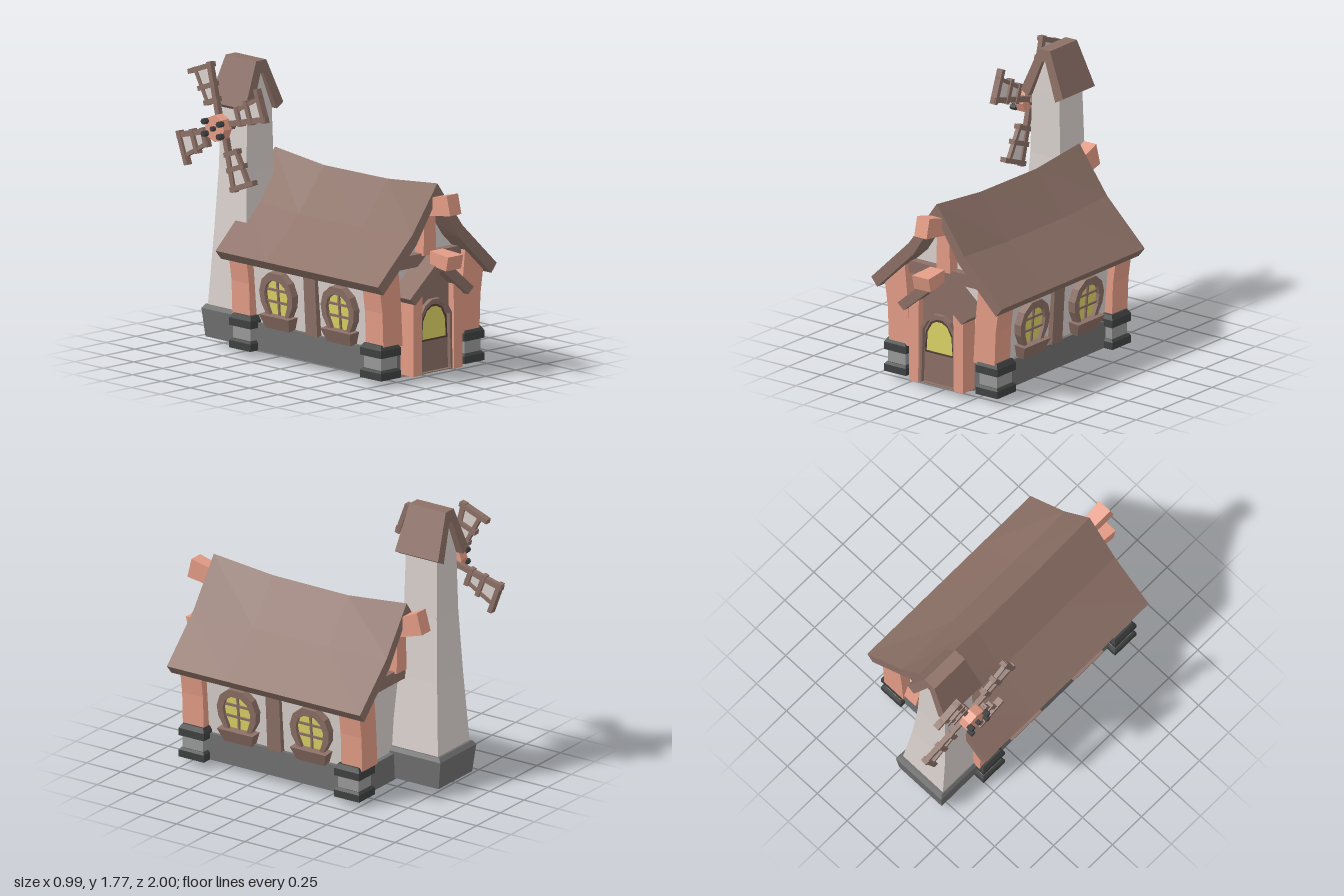
import * as THREE from 'three';

const paint = (name, color) => Object.assign(new THREE.MeshStandardMaterial({ color }), { name });
const brown = paint('brown timber', 0x8c7066);
const salmon = paint('salmon timber', 0xe39c86);
const plaster = paint('pale plaster', 0xd9d1cd);
const slate = paint('foundation grey', 0x707070);
const stone = paint('stone grey', 0x999999);
const charcoal = paint('charcoal bands', 0x3f4141);
const yellow = paint('yellow glass', 0xddd365);
const dark = paint('dark brown', 0x523e38);

function add(parent, name, geo, mat, x = 0, y = 0, z = 0) {
  const m = new THREE.Mesh(geo, mat);
  m.name = name;
  m.position.set(x, y, z);
  parent.add(m);
  return m;
}

// Flat-shaded solid through rings of equal, even point count; always wound outward
function loft(rings) {
  const n = rings[0].length, P = rings.flat(), tris = [];
  const quad = (a, b, c, d) => tris.push([a, b, c], [a, c, d]);
  for (let j = 0; j < rings.length - 1; j++)
    for (let i = 0; i < n; i++) {
      const k = (i + 1) % n, a = j * n, b = a + n;
      quad(a + i, a + k, b + k, b + i);
    }
  const e = (rings.length - 1) * n;
  for (let i = 0; i < n / 2 - 1; i++) {
    quad(n - 1 - i, n - 2 - i, i + 1, i);
    quad(e + i, e + i + 1, e + n - 2 - i, e + n - 1 - i);
  }
  const V = P.map(p => new THREE.Vector3(...p));
  let vol = 0;
  for (const [a, b, c] of tris) vol += V[a].dot(V[b].clone().cross(V[c]));
  const pos = tris.flatMap(([a, b, c]) => (vol < 0 ? [a, c, b] : [a, b, c]).flatMap(i => P[i]));
  const g = new THREE.BufferGeometry();
  g.setAttribute('position', new THREE.Float32BufferAttribute(pos, 3));
  g.computeVertexNormals();
  return g;
}
const rectY = (y, x0, x1, z0, z1) => [[x0, y, z0], [x1, y, z0], [x1, y, z1], [x0, y, z1]];
const rectZ = (z, x, y0, y1, lean = 0) => [[-x, y0, z], [x, y0, z], [x, y1, z - lean], [-x, y1, z - lean]];
const prism = (pts, z0, z1) => loft([z0, z1].map(z => pts.map(([x, y]) => [x, y, z])));
const block = (x0, x1, y0, y1, z0, z1) => loft([rectY(y0, x0, x1, z0, z1), rectY(y1, x0, x1, z0, z1)]);
// Full outline from the right-hand half, bottom to top
const mirrored = pts => [...pts, ...pts.slice().reverse().map(([x, y]) => [-x, y])].map(([x, y]) => new THREE.Vector2(x, y));
function plate(half, depth, hole) {
  const s = new THREE.Shape(mirrored(half));
  if (hole) s.holes.push(new THREE.Path(mirrored(hole)));
  return new THREE.ExtrudeGeometry(s, { depth, bevelEnabled: false });
}

function makeWindow() {
  const g = new THREE.Group();
  g.name = 'sideWindow';
  const outer = [[0.085, -0.13], [0.135, -0.04], [0.143, 0.03], [0.115, 0.105], [0.05, 0.155]];
  const inner = [[0.06, -0.125], [0.092, -0.04], [0.1, 0.02], [0.08, 0.075], [0.035, 0.108]];
  add(g, 'windowFrame', plate(outer, 0.06, inner), brown, 0, 0, -0.015);
  add(g, 'windowGlass', plate(inner, 0.008), yellow, 0, 0, 0.012);
  add(g, 'verticalBar', new THREE.BoxGeometry(0.014, 0.225, 0.02), brown, 0, -0.005, 0.02);
  for (const y of [0.045, -0.03])
    add(g, 'crossBar', new THREE.BoxGeometry(0.19, 0.014, 0.02), brown, 0, y, 0.02);
  add(g, 'windowSill', loft([rectY(-0.195, -0.1, 0.1, -0.02, 0.05), rectY(-0.11, -0.13, 0.13, -0.02, 0.075)]), brown);
  return g;
}

function makeBlade() {
  // Spar runs along +z, lattice widens toward the tip on the +y side
  const g = new THREE.Group();
  g.name = 'millBlade';
  add(g, 'spar', block(-0.016, 0.016, -0.004, 0.03, 0.04, 0.4), brown);
  for (const [z, h] of [[0.17, 0.11], [0.265, 0.14], [0.382, 0.2]])
    add(g, 'rung', loft([rectY(-0.012, -0.021, 0.021, z - 0.015, z + 0.015),
      rectY(h, -0.021, 0.021, z - 0.015 - h * 0.12, z + 0.015 - h * 0.12)]), brown);
  add(g, 'rail', loft([
    [[-0.013, 0.07, 0.14], [0.013, 0.07, 0.14], [0.013, 0.095, 0.14], [-0.013, 0.095, 0.14]],
    [[-0.013, 0.135, 0.38], [0.013, 0.135, 0.38], [0.013, 0.16, 0.38], [-0.013, 0.16, 0.38]]]), brown);
  add(g, 'sailCloth', loft([-0.004, 0.004].map(x => [[x, 0.01, 0.17], [x, 0.01, 0.375], [x, 0.14, 0.37], [x, 0.085, 0.165]])), plaster);
  return g;
}

export function createModel() {
  const root = new THREE.Group();
  root.name = 'windmillCottage';

  // Foundation hollow from below with a raised floor, plaster walls with gables
  add(root, 'foundation', loft([rectY(0.2, -0.345, 0.345, -0.46, 0.715), rectY(0.04, -0.345, 0.345, -0.46, 0.715),
    rectY(0.04, -0.365, 0.365, -0.48, 0.735), rectY(0.21, -0.365, 0.365, -0.48, 0.735)]), slate);
  add(root, 'floor', block(-0.33, 0.33, 0.185, 0.205, -0.44, 0.7), brown);
  const wall = [[0.34, 0.2], [0.375, 0.61], [0.3, 0.735], [0.185, 0.85], [0.004, 1.13]];
  add(root, 'walls', prism([...wall.map(([x, y]) => [-x, y]), ...wall.slice().reverse()], -0.45, 0.7), plaster);

  // Sagging main roof
  const roof = [[0.84, 0], [0.41, 0.04], [-0.14, 0.045], [-0.567, 0]].map(([z, d]) => {
    const out = [[-0.495, 0.635], [-0.21, 0.91 - d * 0.5], [0, 1.2 - d], [0.21, 0.91 - d * 0.5], [0.495, 0.635]];
    const inn = [[0.45, 0.58], [0.175, 0.845 - d * 0.5], [0, 1.11 - d], [-0.175, 0.845 - d * 0.5], [-0.45, 0.58]];
    return [...out, ...inn].map(([x, y]) => [x, y, z]);
  });
  add(root, 'mainRoof', loft(roof), brown);

  // Corner posts on banded stone feet, side windows and mid posts
  const post = [[0.24, 0.23], [0.255, 0.5], [0.28, 0.74], [0.43, 0.6], [0.408, 0.45], [0.4, 0.23]];
  for (const s of [-1, 1]) {
    for (const [z, pz] of [[0.708, 0.713], [-0.425, -0.443]]) {
      add(root, 'cornerPost', prism(post.map(([x, y]) => [x * s, y]), pz - 0.076, pz + 0.076), salmon);
      const ring = (y, h) => rectY(y, s * 0.347 - h, s * 0.347 + h, z - h - 0.009, z + h + 0.009);
      add(root, 'footBase', loft([ring(0.09, 0.045), ring(0.04, 0.05), ring(0.04, 0.083), ring(0.085, 0.083), ring(0.1, 0.07)]), charcoal);
      add(root, 'footStone', loft([ring(0.092, 0.066), ring(0.19, 0.066)]), stone);
      add(root, 'footCap', loft([ring(0.178, 0.083), ring(0.225, 0.083), ring(0.253, 0.066)]), charcoal);
    }
    for (const z of [0.395, -0.137]) {
      const w = makeWindow();
      w.rotation.set(0.09, s * Math.PI / 2, 0, 'YXZ');
      w.position.set(s * 0.36, 0.4, z);
      root.add(w);
    }
    add(root, 'sideMidPost', loft([rectY(0.205, s * 0.3, s * 0.375, 0.09, 0.19), rectY(0.62, s * 0.3, s * 0.4, 0.09, 0.19)]), brown);
  }

  // Gable timbers at both ends
  for (const [z0, z1, out] of [[0.69, 0.755, 0.02], [-0.44, -0.515, -0.015]]) {
    add(root, 'gableCrossBeam', prism([[-0.32, 0.685], [0.32, 0.685], [0.275, 0.762], [-0.275, 0.762]], z0, z1), brown);
    add(root, 'gablePost', prism([[-0.052, 0.75], [0.052, 0.75], [0.045, 1.08], [-0.045, 1.08]], z0, z1 + out), salmon);
  }
  add(root, 'frontRidgeBeam', loft([rectZ(0.68, 0.035, 0.98, 1.08), rectZ(1.0, 0.047, 1.03, 1.152, 0.03)]), salmon);
  add(root, 'backRidgeBeam', loft([rectZ(-0.42, 0.035, 0.95, 1.06), rectZ(-0.71, 0.047, 1.04, 1.175, -0.038)]), salmon);

  // Porch
  add(root, 'porchBody', prism([[-0.17, 0.2], [-0.17, 0.55], [-0.004, 0.7], [0.004, 0.7], [0.17, 0.55], [0.17, 0.2]], 0.69, 0.8), brown);
  add(root, 'porchRoof', prism([[-0.265, 0.53], [0, 0.755], [0.265, 0.53], [0.22, 0.49], [0, 0.67], [-0.22, 0.49]], 0.68, 0.88), brown);
  add(root, 'porchRidgeBeam', loft([rectZ(0.83, 0.052, 0.705, 0.79), rectZ(0.98, 0.063, 0.69, 0.778, -0.02)]), salmon);
  for (const s of [-1, 1])
    add(root, 'porchPost', prism([[0.135, 0.04], [0.13, 0.57], [0.205, 0.52], [0.205, 0.04]].map(([x, y]) => [x * s, y]), 0.73, 0.846), salmon);

  // Door with arched frame, pane and step
  const arch = [[0.137, 0.04], [0.13, 0.39], [0.09, 0.455], [0.035, 0.488]];
  const archIn = [[0.122, 0.045], [0.113, 0.38], [0.078, 0.436], [0.03, 0.464]];
  const pane = [[0.1, 0.245], [0.092, 0.36], [0.06, 0.42], [0.02, 0.44]];
  const paneRim = [[0.11, 0.235], [0.102, 0.365], [0.066, 0.43], [0.022, 0.452]];
  add(root, 'doorFrame', plate(arch, 0.035, archIn), brown, 0, 0, 0.795);
  add(root, 'door', plate(archIn, 0.008), brown, 0, 0, 0.797);
  add(root, 'doorPaneRim', plate(paneRim, 0.009, pane), dark, 0, 0, 0.804);
  add(root, 'doorPane', plate(pane, 0.005), yellow, 0, 0, 0.803);
  add(root, 'doorStep', loft([
    [[-0.155, 0.04, 0.8], [0.158, 0.04, 0.8], [0.158, 0.045, 0.66], [-0.155, 0.045, 0.66]],
    [[-0.155, 0.035, 0.8], [0.158, 0.035, 0.8], [0.158, 0, 0.665], [-0.155, 0, 0.665]]]), brown);

  // Tower on a base that is hollow from below
  add(root, 'towerBase', loft([rectY(0.215, -0.35, -0.01, -0.8, -0.43), rectY(0.05, -0.335, -0.02, -0.78, -0.44),
    rectY(0.05, -0.355, 0, -0.8, -0.42), rectY(0.225, -0.37, 0.01, -0.82, -0.41), rectY(0.25, -0.355, -0.005, -0.8, -0.43)]), slate);
  add(root, 'towerShaft', loft([rectY(0.24, -0.35, -0.015, -0.785, -0.44), rectY(0.7, -0.333, -0.06, -0.748, -0.465),
    rectY(1.1, -0.312, -0.085, -0.728, -0.488), rectY(1.5, -0.302, -0.097, -0.72, -0.495),
    rectY(1.71, -0.215, -0.185, -0.715, -0.5)]), plaster);
  const cap = [[-0.16, 1.5], [-0.042, 1.775], [0.042, 1.775], [0.16, 1.5], [0.103, 1.468], [0.012, 1.7], [-0.012, 1.7], [-0.103, 1.468]];
  add(root, 'towerRoof', loft([-1, 1].map(s => cap.map(([x, y]) => [x - 0.198, y, -0.612 + s * (0.16 - (y - 1.47) * 0.09)]))), brown);

  // Mill wheel on the tower's right side
  const mill = new THREE.Group();
  mill.name = 'millWheel';
  mill.position.set(-0.395, 1.375, -0.61);
  const drum = (r, len, sides) => {
    const g = new THREE.CylinderGeometry(r, r, len, sides).toNonIndexed().rotateZ(Math.PI / 2);
    g.computeVertexNormals();
    return g;
  };
  add(mill, 'axle', drum(0.027, 0.16, 6), brown, 0.06);
  add(mill, 'hub', drum(0.083, 0.065, 8), salmon, -0.035);
  add(mill, 'hubPin', drum(0.016, 0.03, 6), charcoal, -0.078);
  for (let k = 0; k < 4; k++) {
    const blade = makeBlade();
    blade.rotation.x = -0.245 + k * Math.PI / 2;
    mill.add(blade);
    const sy = k < 2 ? 1 : -1, sz = k % 2 ? 1 : -1;
    add(mill, 'hubKnob', drum(0.019, 0.04, 6), charcoal, -0.083, sy * 0.038, sz * 0.065);
  }
  root.add(mill);
  return root;
}
